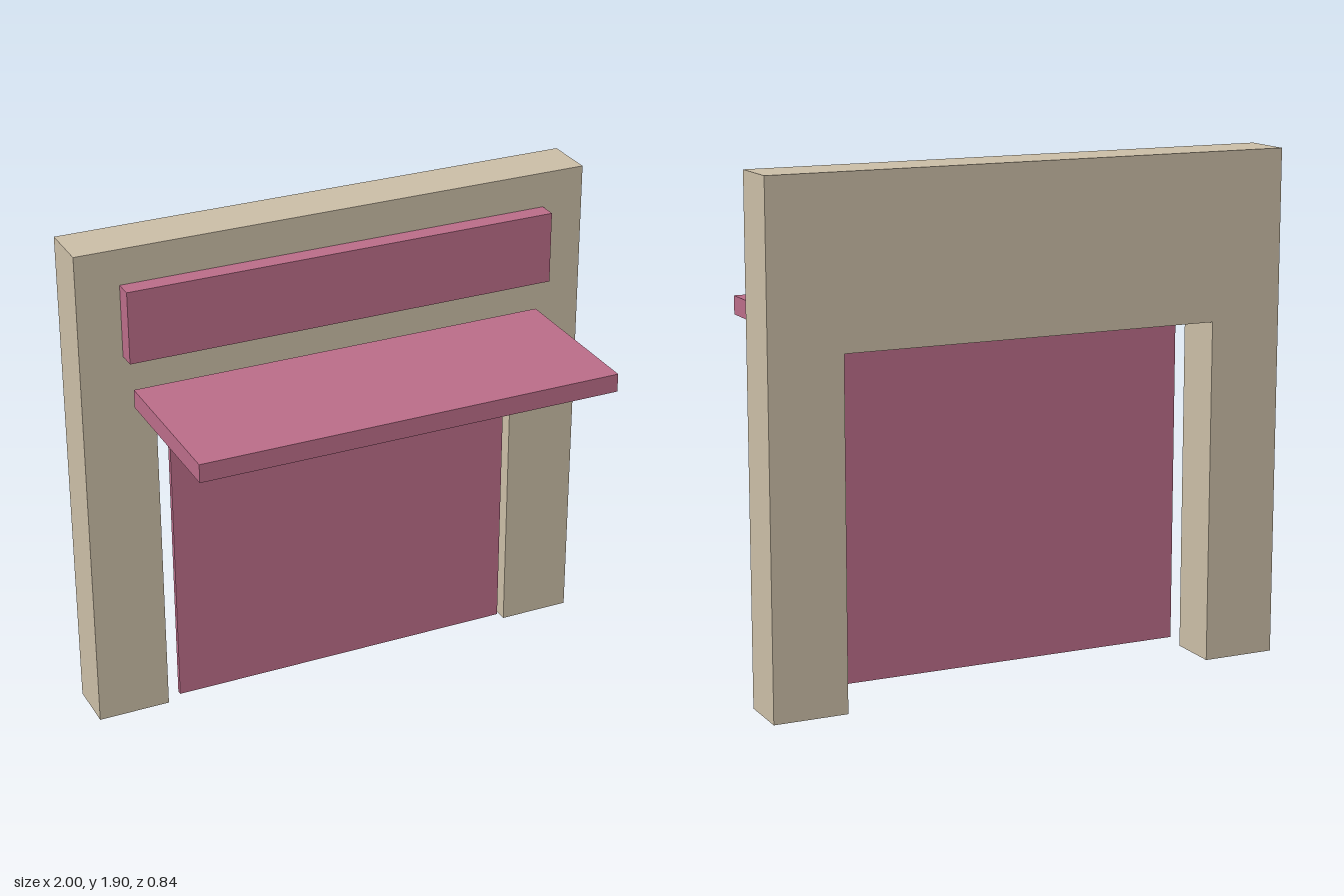
import * as THREE from 'three';

const stone = new THREE.MeshStandardMaterial({ color: 0xcabda6 });
const pink = new THREE.MeshStandardMaterial({ color: 0xba6c88 });

// Box spanning -halfWidth..halfWidth in x, y0..y1 and z0..z1
function slab(name, halfWidth, y0, y1, z0, z1) {
  const mesh = new THREE.Mesh(new THREE.BoxGeometry(2 * halfWidth, y1 - y0, z1 - z0), pink);
  mesh.position.set(0, (y0 + y1) / 2, (z0 + z1) / 2);
  mesh.name = name;
  return mesh;
}

export function createModel() {
  const model = new THREE.Group();
  model.name = 'shopfront';

  // Wall with a doorway open to the ground
  const outer = 1, inner = 0.722, height = 1.9, lintel = 1.28;
  const outline = new THREE.Shape([
    [-outer, 0], [-inner, 0], [-inner, lintel], [inner, lintel],
    [inner, 0], [outer, 0], [outer, height], [-outer, height],
  ].map(([x, y]) => new THREE.Vector2(x, y)));
  const wall = new THREE.Mesh(
    new THREE.ExtrudeGeometry(outline, { depth: 0.2, bevelEnabled: false }), stone);
  wall.position.z = -0.42;
  wall.name = 'wall';
  model.add(wall);

  // Door panel, canopy and sign board on the front
  model.add(
    slab('doorPanel', 0.682, 0.04, 1.24, -0.22, -0.2),
    slab('canopy', 0.81, 1.292, 1.362, -0.2, 0.42),
    slab('signBoard', 0.837, 1.49, 1.765, -0.22, -0.15),
  );
  return model;
}
